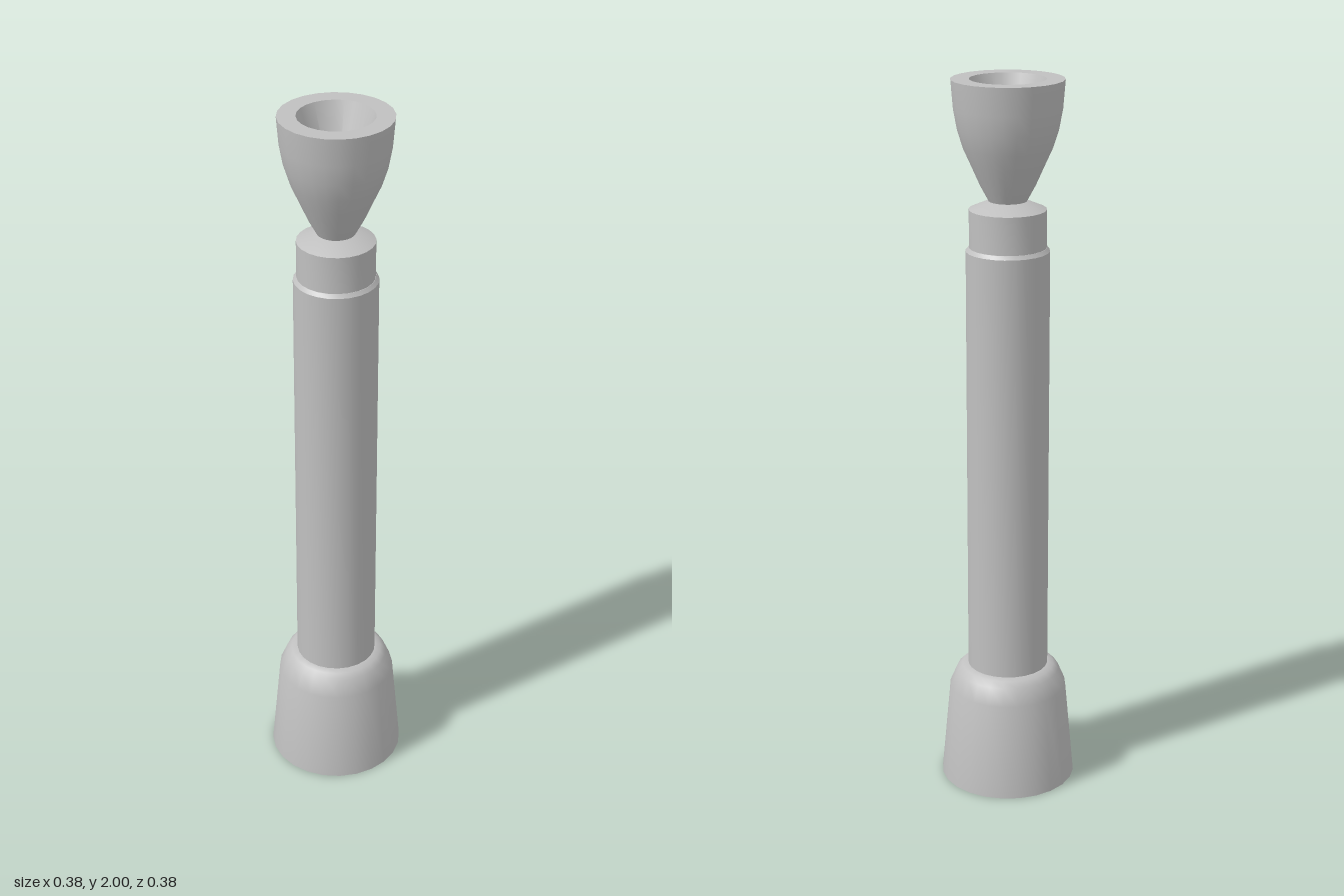
import * as THREE from 'three';
import { toCreasedNormals } from 'three/addons/utils/BufferGeometryUtils.js';

const SIDES = 24;

export function createModel() {
  const model = new THREE.Group();
  model.name = 'handheldTorch';
  const greyMetal = new THREE.MeshStandardMaterial({ color: 0xc0c0c0 });
  greyMetal.name = 'greyMetal';

  // Turns a [radius, height] profile around the y axis, keeping hard edges sharp
  const turned = (name, profile) => {
    const points = profile.map(([r, y]) => new THREE.Vector2(r, y));
    const lathe = new THREE.LatheGeometry(points, SIDES);
    const mesh = new THREE.Mesh(toCreasedNormals(lathe, 0.6), greyMetal);
    mesh.name = name;
    model.add(mesh);
  };

  // Flared foot with a rounded shoulder
  turned('base', [
    [0, 0], [0.19, 0], [0.165, 0.275], [0.145, 0.322], [0.13, 0.337], [0.112, 0.342], [0, 0.342],
  ]);

  // Long straight grip with a small bevel at its upper end
  turned('shaft', [[0, 0.33], [0.113, 0.33], [0.113, 1.545], [0.105, 1.555], [0, 1.555]]);

  // Narrower collar with a shallow conical top
  turned('collar', [[0, 1.54], [0.104, 1.54], [0.104, 1.657], [0.05, 1.68], [0, 1.68]]);

  // Bell-shaped cup: curved outside, flat rim, conical hollow
  turned('cup', [
    [0, 1.672], [0.047, 1.672], [0.074, 1.722], [0.098, 1.776], [0.118, 1.82], [0.134, 1.87],
    [0.144, 1.925], [0.15, 2], [0.101, 2], [0.011, 1.76], [0, 1.76],
  ]);

  return model;
}
